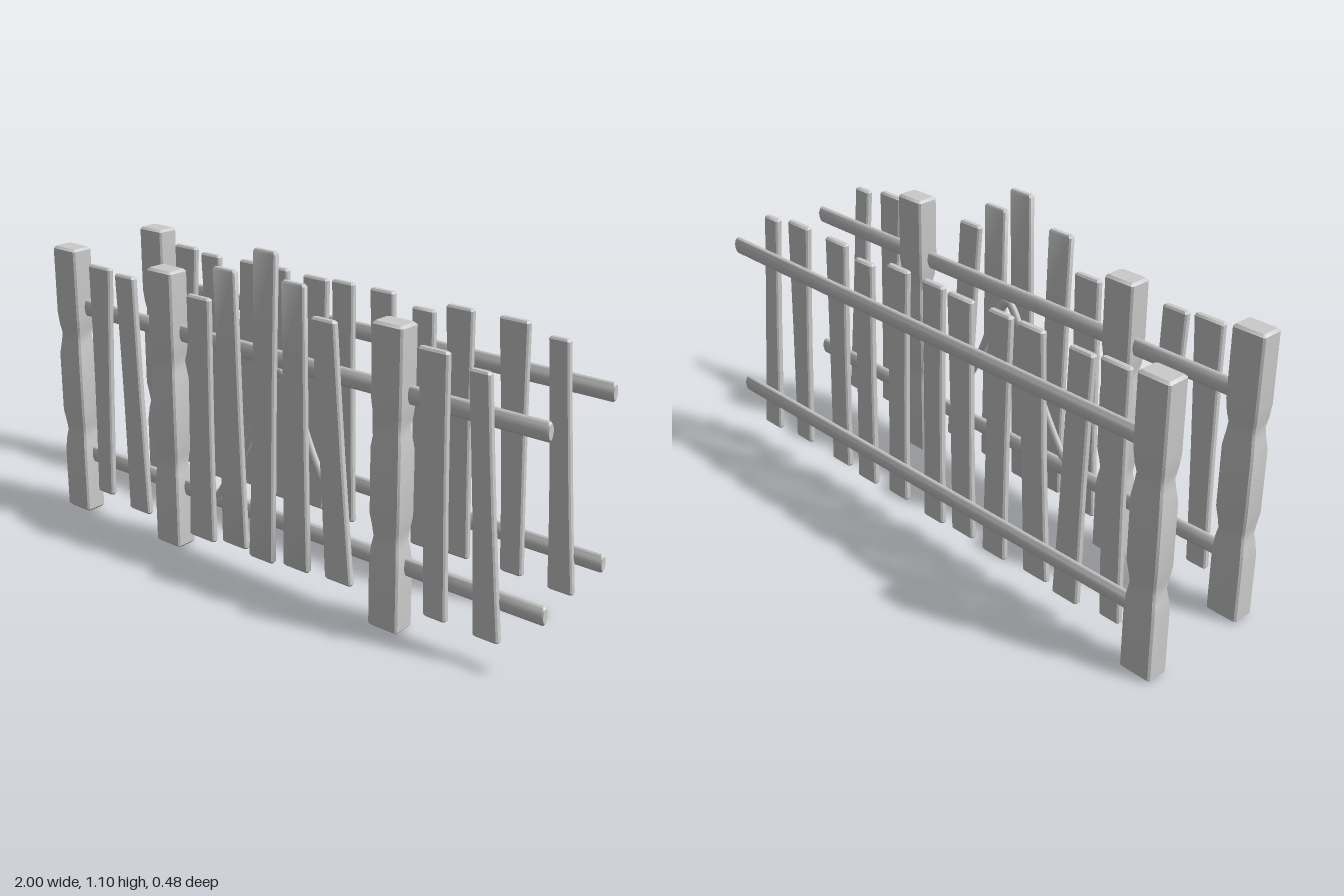
import * as THREE from 'three';
import { toCreasedNormals } from 'three/addons/utils/BufferGeometryUtils.js';

const material = new THREE.MeshStandardMaterial({ color: 0xcccccc });

// Loft through chamfered rectangles, each given as [y, centreX, centreZ, halfWidth, halfDepth].
function loft(sections, chamfer) {
  const pos = [], index = [];
  for (const [y, cx, cz, w, d] of sections) {
    const c = chamfer;
    for (const [x, z] of [[w, -d + c], [w, d - c], [w - c, d], [-w + c, d],
      [-w, d - c], [-w, -d + c], [-w + c, -d], [w - c, -d]]) pos.push(cx + x, y, cz + z);
  }
  const n = sections.length;
  for (let i = 0; i < n - 1; i++) {
    for (let j = 0; j < 8; j++) {
      const a = i * 8 + j, b = i * 8 + (j + 1) % 8;
      index.push(a, a + 8, b, b, a + 8, b + 8);
    }
  }
  for (let j = 1; j < 7; j++) {
    const t = (n - 1) * 8;
    index.push(0, j, j + 1, t, t + j + 1, t + j);
  }
  const geo = new THREE.BufferGeometry();
  geo.setAttribute('position', new THREE.Float32BufferAttribute(pos, 3));
  geo.setIndex(index);
  return toCreasedNormals(geo, 0.6);
}

function add(group, name, geometry) {
  const mesh = new THREE.Mesh(geometry, material);
  mesh.name = name;
  group.add(mesh);
  return mesh;
}

// Square post with two carved waists.
function post(group, x, z) {
  const rings = [[0, 0.008], [0.008, 0], [0.22, 0], [0.265, 0.004], [0.295, 0.009], [0.325, 0.006], [0.37, 0],
    [0.58, 0], [0.625, 0.006], [0.655, 0.009], [0.685, 0.004], [0.73, 0], [0.957, 0], [0.965, 0.008]];
  add(group, 'post', loft(rings.map(([y, inset]) => [y, x, z, 0.056 - inset, 0.039 - inset]), 0.006));
}

// Crooked picket: edges [left, right, y] at the bottom and top, depth at each, and a slight waist.
function picket(group, [bl, br, by, tl, tr, ty], zBottom, zTop) {
  const at = (t, inset) => {
    const s = Math.sin(Math.PI * t);
    const l = bl + (tl - bl) * t + 0.005 * s, r = br + (tr - br) * t - 0.003 * s;
    return [by + (ty - by) * t, (l + r) / 2, zBottom + (zTop - zBottom) * t,
      (r - l) / 2 - inset, 0.012 - inset];
  };
  const rings = [[0, 0.005], [0.008, 0], [0.25, 0], [0.5, 0], [0.75, 0], [0.992, 0], [1, 0.005]];
  add(group, 'picket', loft(rings.map(([t, inset]) => at(t, inset)), 0.005));
}

// Oval rail along x with softened ends.
function rail(group, x0, x1, y, z) {
  const r = 0.03, b = 0.006, len = x1 - x0;
  const profile = [[0, 0], [r - b, 0], [r, b], [r, len - b], [r - b, len], [0, len]];
  const geo = new THREE.LatheGeometry(profile.map(([a, h]) => new THREE.Vector2(a, h)), 20);
  geo.rotateZ(-Math.PI / 2);
  geo.scale(1, 1, 0.48);
  geo.translate(x0, y, z);
  add(group, 'rail', toCreasedNormals(geo, 0.6));
}

export function createModel() {
  const model = new THREE.Group();
  const front = new THREE.Group(), back = new THREE.Group(), gate = new THREE.Group();
  front.name = 'frontFence';
  back.name = 'backFence';
  gate.name = 'gate';
  model.add(front, back);
  front.add(gate);

  // Posts
  for (const x of [-0.944, -0.474, 0.461]) post(front, x, 0.2);
  post(back, -0.944, -0.2);

  // Rails
  for (const [y, end] of [[0.755, 0.985], [0.213, 1]]) {
    rail(front, -0.94, -0.48, y, 0.191);
    rail(gate, -0.47, 0.39, y, 0.191);
    rail(front, 0.46, end, y, 0.191);
    rail(back, -0.94, 0.95, y, -0.207);
  }

  // Pickets shared by both rows: bottom left, right, y, then top left, right, y
  const shared = [
    [-0.84, -0.765, 0.095, -0.825, -0.72, 0.925],
    [-0.675, -0.575, 0.075, -0.695, -0.605, 0.915],
    [0.605, 0.685, 0.095, 0.565, 0.67, 0.92],
  ];
  const leaning = [0.775, 0.865, 0.085, 0.745, 0.815, 0.895];
  for (const p of shared) {
    picket(front, p, 0.217, 0.221);
    picket(back, p, -0.184, -0.18);
  }
  picket(front, leaning, 0.207, 0.229);
  picket(back, leaning, -0.192, -0.17);

  // Gate pickets, rising to the middle
  for (const p of [
    [-0.375, -0.26, 0.065, -0.355, -0.255, 0.905],
    [-0.22, -0.112, 0.085, -0.235, -0.14, 1.015],
    [-0.1, 0.005, 0.07, -0.06, 0.032, 1.1],
    [0.05, 0.155, 0.085, 0.052, 0.145, 1.02],
    [0.225, 0.33, 0.095, 0.17, 0.262, 0.93],
  ]) picket(gate, p, 0.219, 0.221);

  // Remaining back pickets
  for (const p of [
    [-0.55, -0.45, 0.09, -0.505, -0.405, 0.92],
    [-0.368, -0.27, 0.08, -0.378, -0.285, 0.92],
    [-0.225, -0.13, 0.09, -0.215, -0.11, 0.915],
    [-0.085, 0.005, 0.08, -0.09, 0, 0.92],
    [0.09, 0.18, 0.09, 0.07, 0.165, 0.92],
    [0.25, 0.342, 0.08, 0.24, 0.325, 0.89],
    [0.39, 0.48, 0.09, 0.37, 0.47, 0.92],
  ]) picket(back, p, -0.184, -0.18);

  // Bent brace behind the gate
  const path = new THREE.CatmullRomCurve3([
    [-0.28, 0.2], [-0.2, 0.32], [-0.1, 0.5], [-0.02, 0.68], [0.015, 0.72],
    [0.06, 0.67], [0.14, 0.49], [0.21, 0.36], [0.28, 0.2],
  ].map(([x, y]) => new THREE.Vector3(x, y, 0)));
  const brace = add(gate, 'brace', new THREE.TubeGeometry(path, 48, 0.016, 10));
  brace.scale.z = 0.7;
  brace.position.z = 0.195;

  return model;
}
